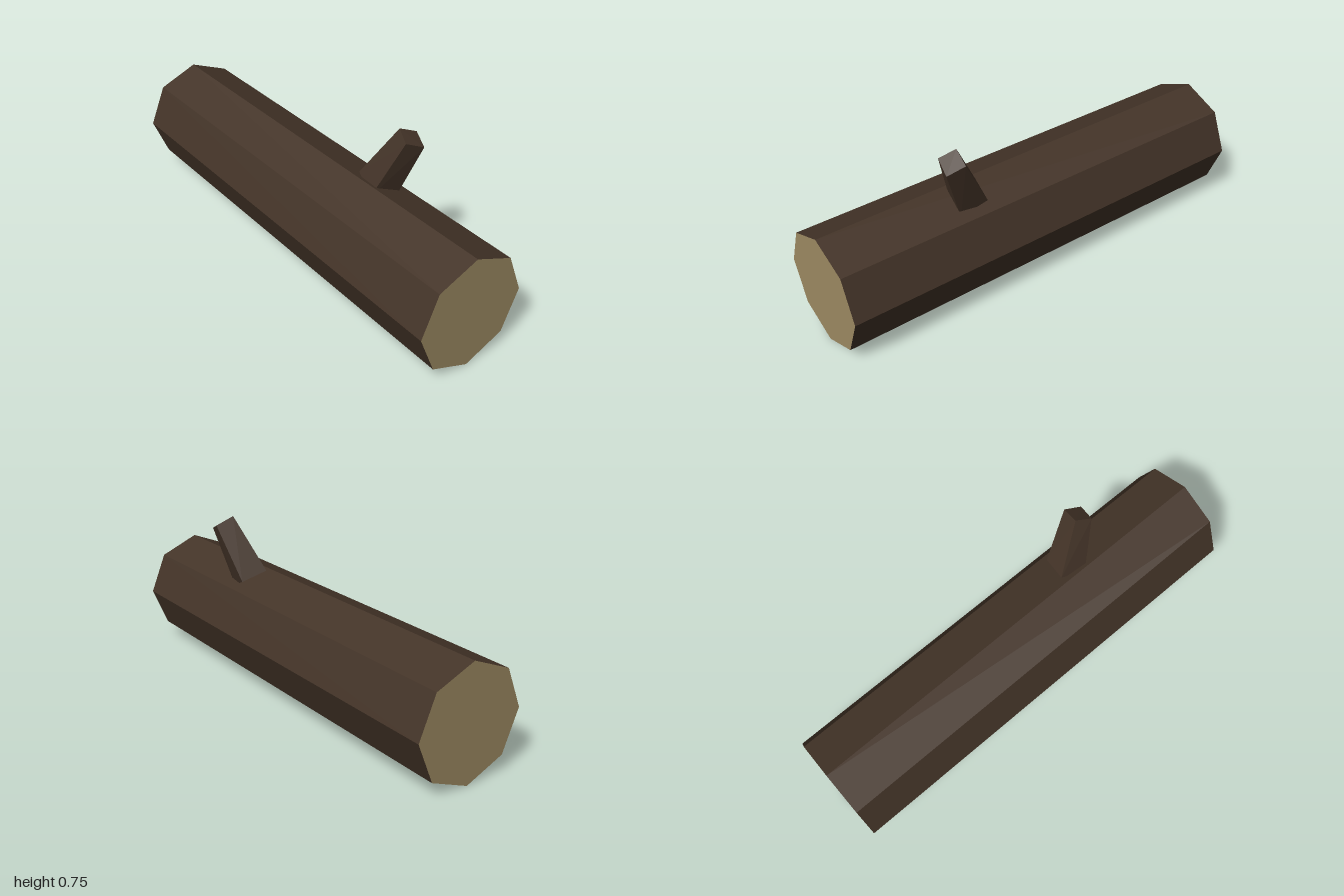
import * as THREE from 'three';

const RADIUS = 0.253;

// Faceted solid between two matching rings, both counterclockwise seen from the tip
function loft(base, tip) {
  const pos = [];
  const quad = (a, b, c, d) => [a, b, c, a, c, d].forEach((p) => pos.push(...p));
  base.forEach((p, i) => {
    const j = (i + 1) % base.length;
    quad(p, base[j], tip[j], tip[i]);
  });
  quad(...tip);
  quad(...[...base].reverse());
  const geometry = new THREE.BufferGeometry();
  geometry.setAttribute('position', new THREE.Float32BufferAttribute(pos, 3));
  geometry.computeVertexNormals();
  return geometry;
}

export function createModel() {
  const model = new THREE.Group();
  model.name = 'log';

  const bark = new THREE.MeshStandardMaterial({ color: 0x443428, flatShading: true });
  bark.name = 'bark';
  const cutWood = new THREE.MeshStandardMaterial({ color: 0x9e8b63, flatShading: true });
  cutWood.name = 'cutWood';

  // Eight-sided trunk lying along x, with pale sawn ends
  const trunkGeometry = new THREE.CylinderGeometry(RADIUS, RADIUS, 2, 8);
  trunkGeometry.rotateZ(Math.PI / 2);
  const trunk = new THREE.Mesh(trunkGeometry, [bark, cutWood, cutWood]);
  trunk.name = 'trunk';
  trunk.position.y = RADIUS;
  model.add(trunk);

  // Four-sided tapering branch stub leaning right and back
  const branchBase = [[0.287, 0.507, -0.03], [0.4, 0.457, 0], [0.42, 0.42, -0.117], [0.307, 0.47, -0.147]];
  const branchTip = [[0.425, 0.745, -0.114], [0.494, 0.715, -0.088], [0.512, 0.68, -0.17], [0.437, 0.711, -0.195]];
  const branch = new THREE.Mesh(loft(branchBase, branchTip), bark);
  branch.name = 'branchStub';
  model.add(branch);

  return model;
}
